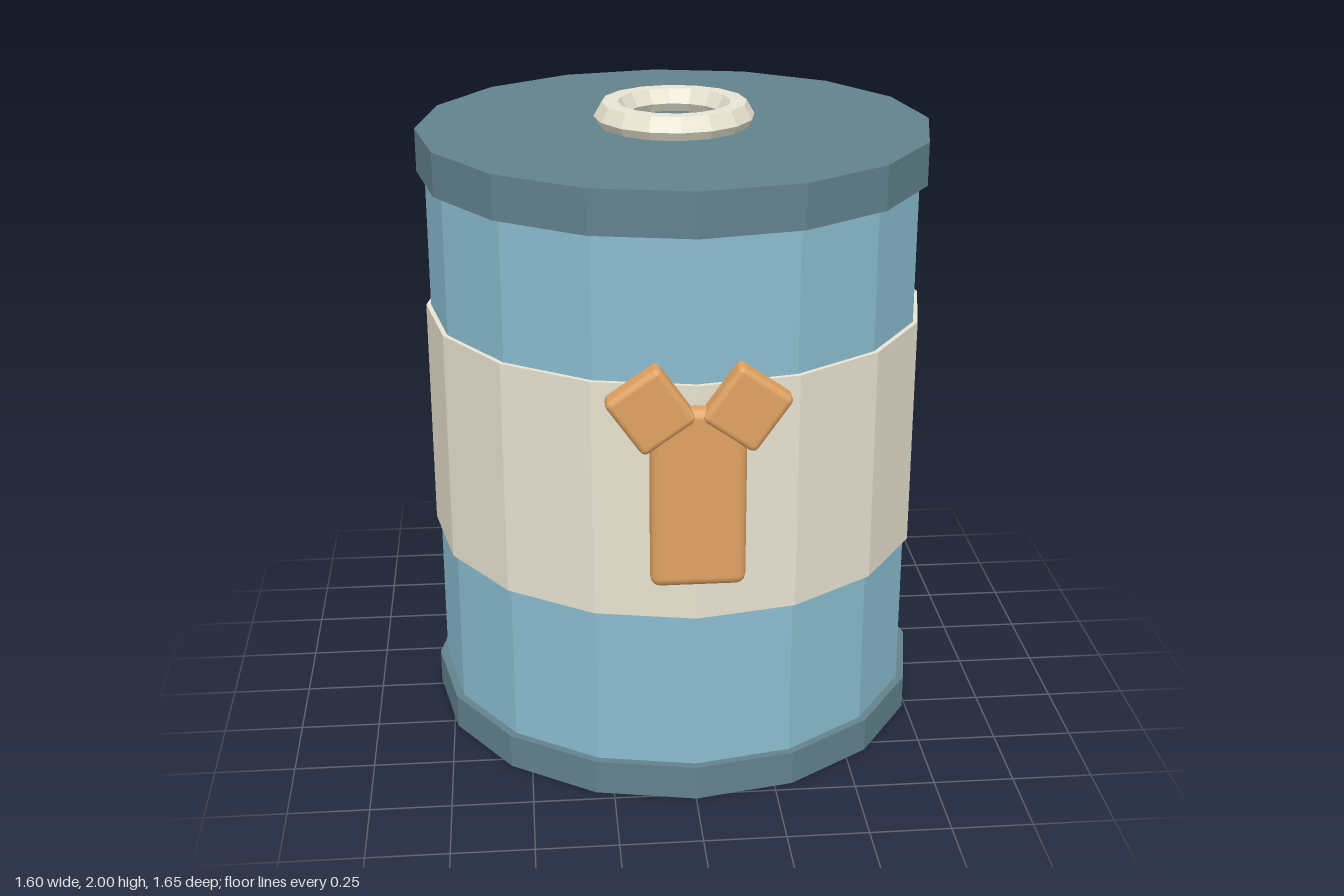
import * as THREE from 'three';
import { RoundedBoxGeometry } from 'three/addons/geometries/RoundedBoxGeometry.js';

const SIDES = 16;
const CENTER_Z = -0.025;

export function createModel() {
  const model = new THREE.Group();
  model.name = 'drum';

  const material = (color, flatShading) => new THREE.MeshStandardMaterial({ color, flatShading });
  const slate = material(0x62828d, true);
  const blue = material(0x8bbdd0, true);
  const cream = material(0xe8e3d1, true);
  const orange = material(0xe0a262, false);

  const add = (name, geometry, mat, x, y, z) => {
    const mesh = new THREE.Mesh(geometry, mat);
    mesh.name = name;
    mesh.position.set(x, y, z);
    model.add(mesh);
    return mesh;
  };

  // Stacked faceted drum sections, from height y0 to y1
  const section = (name, radius, y0, y1, mat) =>
    add(name, new THREE.CylinderGeometry(radius, radius, y1 - y0, SIDES), mat, 0, (y0 + y1) / 2, CENTER_Z);

  section('bottomRim', 0.8, 0, 0.11, slate);
  section('body', 0.775, 0.11, 1.795, blue);
  section('labelBand', 0.79, 0.62, 1.36, cream);
  section('lid', 0.8, 1.795, 1.93, slate);

  // Low-poly ring sunk slightly into the lid
  const ring = add('lidRing', new THREE.TorusGeometry(0.2, 0.05, 6, SIDES), cream, 0, 1.957, CENTER_Z);
  ring.rotation.x = -Math.PI / 2;

  // Y-shaped emblem on the front: stem and two mirrored arms
  add('emblemStem', new RoundedBoxGeometry(0.28, 0.555, 0.068, 2, 0.03), orange, 0, 1.027, 0.782);
  for (const side of [-1, 1]) {
    const arm = add(side > 0 ? 'emblemArmLeft' : 'emblemArmRight',
      new RoundedBoxGeometry(0.19, 0.2, 0.077, 2, 0.02), orange, side * 0.138, 1.304, 0.787);
    arm.rotation.z = -side * 0.61;
  }

  return model;
}
